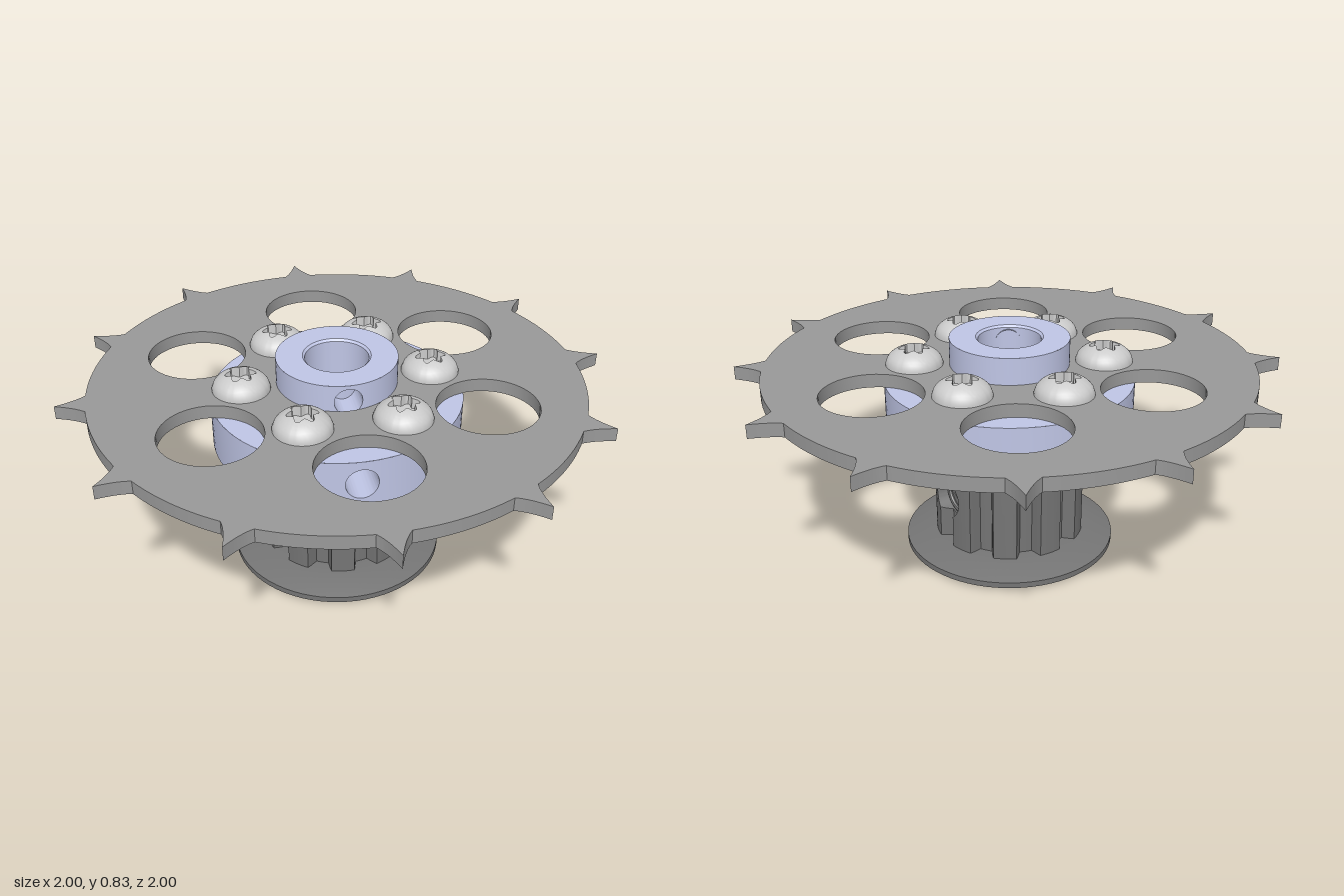
import * as THREE from 'three';
import { toCreasedNormals } from 'three/addons/utils/BufferGeometryUtils.js';

const DEG = Math.PI / 180;
const BORE = 0.115;
const material = (color) => new THREE.MeshStandardMaterial({ color, side: THREE.DoubleSide });
const hubMat = material(0xc0c6e6);
const plateMat = material(0x999999);
const pulleyMat = material(0x757575);
const screwMat = material(0xc4c4c0);

function part(name, geometry, mat) {
  const mesh = new THREE.Mesh(toCreasedNormals(geometry, 0.5), mat);
  mesh.name = name;
  return mesh;
}

const lathe = (points) =>
  new THREE.LatheGeometry(points.map(([r, y]) => new THREE.Vector2(r, y)), 72);

// Upright wall of polar radius R(angle), pierced on its +x side by a round hole.
// Each column is split above and below the hole, and the hole is lined inward to x = xin.
function piercedWall(R, corners, y0, y1, hole) {
  const edge = Math.asin(hole.r / R(hole.edgeAngle ?? 0));
  const angles = [...corners];
  for (let a = -180; a <= 180; a += 4) angles.push(a * DEG);
  for (let k = -16; k <= 16; k++) angles.push(edge * Math.sin((k / 16) * Math.PI / 2));
  angles.sort((a, b) => a - b);
  const columns = angles.filter((a, i) => i === 0 || a - angles[i - 1] > 1e-5).map((a) => {
    const x = R(a) * Math.cos(a), z = R(a) * Math.sin(a);
    const inside = x > 0 && Math.abs(z) < hole.r - 1e-5;
    return { x, z, h: inside ? Math.sqrt(hole.r ** 2 - z ** 2) : 0 };
  });
  const pos = [];
  const quad = (a, b, c, d) => pos.push(...a, ...b, ...c, ...a, ...c, ...d);
  const at = (c, y, x = c.x) => [x, y, c.z];
  for (let i = 1; i < columns.length; i++) {
    const p = columns[i - 1], q = columns[i];
    quad(at(p, y0), at(p, hole.y - p.h), at(q, hole.y - q.h), at(q, y0));
    quad(at(p, hole.y + p.h), at(p, y1), at(q, y1), at(q, hole.y + q.h));
    if (p.h + q.h === 0) continue;
    for (const s of [1, -1]) {
      const [m, n] = s > 0 ? [p, q] : [q, p];
      quad(at(m, hole.y + s * m.h), at(n, hole.y + s * n.h),
        at(n, hole.y + s * n.h, hole.xin), at(m, hole.y + s * m.h, hole.xin));
    }
  }
  const g = new THREE.BufferGeometry();
  g.setAttribute('position', new THREE.Float32BufferAttribute(pos, 3));
  return g;
}

// Flat toothed plate with six lightening holes
function sprocketPlate() {
  const shape = new THREE.Shape();
  const root = 0.895, half = 3.5 * DEG;
  const polar = (r, a) => [r * Math.cos(a), r * Math.sin(a)];
  shape.moveTo(...polar(root, -half));
  for (let i = 0; i < 12; i++) {
    const a = i * 30 * DEG;
    shape.quadraticCurveTo(...polar(0.925, a - 1.6 * DEG), ...polar(1, a));
    shape.quadraticCurveTo(...polar(0.925, a + 1.6 * DEG), ...polar(root, a + half));
    shape.absarc(0, 0, root, a + half, a + 30 * DEG - half, false);
  }
  const addHole = (x, y, r) => shape.holes.push(new THREE.Path().absarc(x, y, r, 0, Math.PI * 2, true));
  addHole(0, 0, 0.22);
  for (let i = 0; i < 6; i++) addHole(...polar(0.557, i * 60 * DEG), 0.182);
  return new THREE.ExtrudeGeometry(shape, { depth: 0.05, bevelEnabled: false, curveSegments: 24 })
    .rotateX(-Math.PI / 2).translate(0, 0.68, 0);
}

// Button screw head: dome around a six-pointed socket
function screwHead() {
  const n = 72, rim = 0.105, pos = [];
  const dome = (r) => 0.069 * Math.sqrt(Math.max(0, 1 - (r / 0.1055) ** 2));
  const star = (a) => 0.047 + 0.009 * Math.cos(6 * a);
  const rows = [() => [rim, 0]];
  for (let k = 0; k <= 8; k++) {
    rows.push((a) => {
      const r = rim + (star(a) - rim) * (k / 8);
      return [r, dome(r)];
    });
  }
  rows.push((a) => [star(a) * 0.97, 0.025], () => [0, 0.025]);
  const point = (row, i) => {
    const a = (i / n) * Math.PI * 2, [r, y] = row(a);
    return [r * Math.cos(a), y, r * Math.sin(a)];
  };
  for (let j = 1; j < rows.length; j++) {
    for (let i = 0; i < n; i++) {
      const a = point(rows[j - 1], i), b = point(rows[j], i);
      const c = point(rows[j], i + 1), d = point(rows[j - 1], i + 1);
      pos.push(...a, ...b, ...c, ...a, ...c, ...d);
    }
  }
  const g = new THREE.BufferGeometry();
  g.setAttribute('position', new THREE.Float32BufferAttribute(pos, 3));
  return g;
}

// Flanged hub with one radial hole in each step
function makeHub() {
  const hub = new THREE.Group();
  hub.name = 'hub';
  const flange = piercedWall(() => 0.46, [], 0.5, 0.68, { y: 0.59, r: 0.058, xin: 0.105 });
  const collar = piercedWall(() => 0.22, [], 0.68, 0.83, { y: 0.765, r: 0.05, xin: 0.105 });
  hub.add(
    part('hubFlangeWall', flange, hubMat),
    part('hubCollarWall', collar, hubMat),
    part('hubUnderside', lathe([[BORE, 0.5], [0.46, 0.5]]), hubMat),
    part('hubShoulder', lathe([[0.46, 0.68], [0.22, 0.68]]), hubMat),
    part('hubTopAndBore', lathe([[0.22, 0.83], [0.123, 0.83], [BORE, 0.822], [BORE, 0.5]]), hubMat),
  );
  hub.rotation.y = -120 * DEG;
  return hub;
}

// Ten-tooth belt pulley between two flared flanges
function makePulley() {
  const pulley = new THREE.Group();
  pulley.name = 'pulley';
  const inner = 5.5 * DEG, outer = 9.3 * DEG, pitch = 36 * DEG;
  const R = (a) => {
    const d = Math.abs(a - Math.round(a / pitch) * pitch);
    return 0.239 + 0.046 * THREE.MathUtils.clamp((d - inner) / (outer - inner), 0, 1);
  };
  const corners = [];
  for (let k = -5; k <= 5; k++) {
    for (const d of [-outer, -inner, inner, outer]) {
      const a = k * pitch + d;
      if (Math.abs(a) <= Math.PI) corners.push(a);
    }
  }
  const hole = { y: 0.25, r: 0.08, xin: 0.12, edgeAngle: 16 * DEG };
  pulley.add(
    part('pulleyTeeth', piercedWall(R, corners, 0.04, 0.46, hole), pulleyMat),
    part('lowerFlange', lathe([[BORE, 0], [0.235, 0], [0.235, 0.01], [0.4, 0.01],
      [0.4, 0.032], [0.3, 0.06], [0.22, 0.06]]), pulleyMat),
    part('upperFlange', lathe([[0.22, 0.437], [0.3, 0.437], [0.4, 0.46], [0.4, 0.485],
      [0.235, 0.485], [0.235, 0.5], [BORE, 0.5]]), pulleyMat),
    part('pulleyBore', lathe([[BORE, 0.5], [BORE, 0]]), pulleyMat),
  );

  // Thread rings in the set screw hole
  for (let i = 0; i < 4; i++) {
    const ring = part('holeThread', new THREE.TorusGeometry(0.073, 0.01, 8, 40), pulleyMat);
    ring.rotation.y = Math.PI / 2;
    ring.position.set(0.15 + i * 0.025, hole.y, 0);
    pulley.add(ring);
  }

  // Set screw with hexagonal socket, its tip reaching into the bore
  const shape = new THREE.Shape().absarc(0, 0, 0.065, 0, Math.PI * 2, false);
  const hex = [];
  for (let i = 0; i < 6; i++) {
    hex.push(new THREE.Vector2(0.048 * Math.sin(i * 60 * DEG), 0.048 * Math.cos(i * 60 * DEG)));
  }
  shape.holes.push(new THREE.Path(hex));
  const socket = new THREE.ExtrudeGeometry(shape, { depth: 0.07, bevelEnabled: false, curveSegments: 20 })
    .rotateY(Math.PI / 2).translate(0.15, hole.y, 0);
  const tip = new THREE.CylinderGeometry(0.065, 0.05, 0.06, 40)
    .rotateZ(-Math.PI / 2).translate(0.12, hole.y, 0);
  pulley.add(part('setScrewSocket', socket, pulleyMat), part('setScrewTip', tip, pulleyMat));
  return pulley;
}

export function createModel() {
  const model = new THREE.Group();
  model.name = 'sprocketAssembly';
  model.add(part('sprocketPlate', sprocketPlate(), plateMat), makeHub(), makePulley());

  // Ring of six screws
  const head = screwHead();
  for (let i = 0; i < 6; i++) {
    const a = (30 + i * 60) * DEG;
    const screw = part('screw', head, screwMat);
    screw.position.set(0.347 * Math.cos(a), 0.73, 0.347 * Math.sin(a));
    screw.rotation.y = 30 * DEG;
    model.add(screw);
  }
  return model;
}
